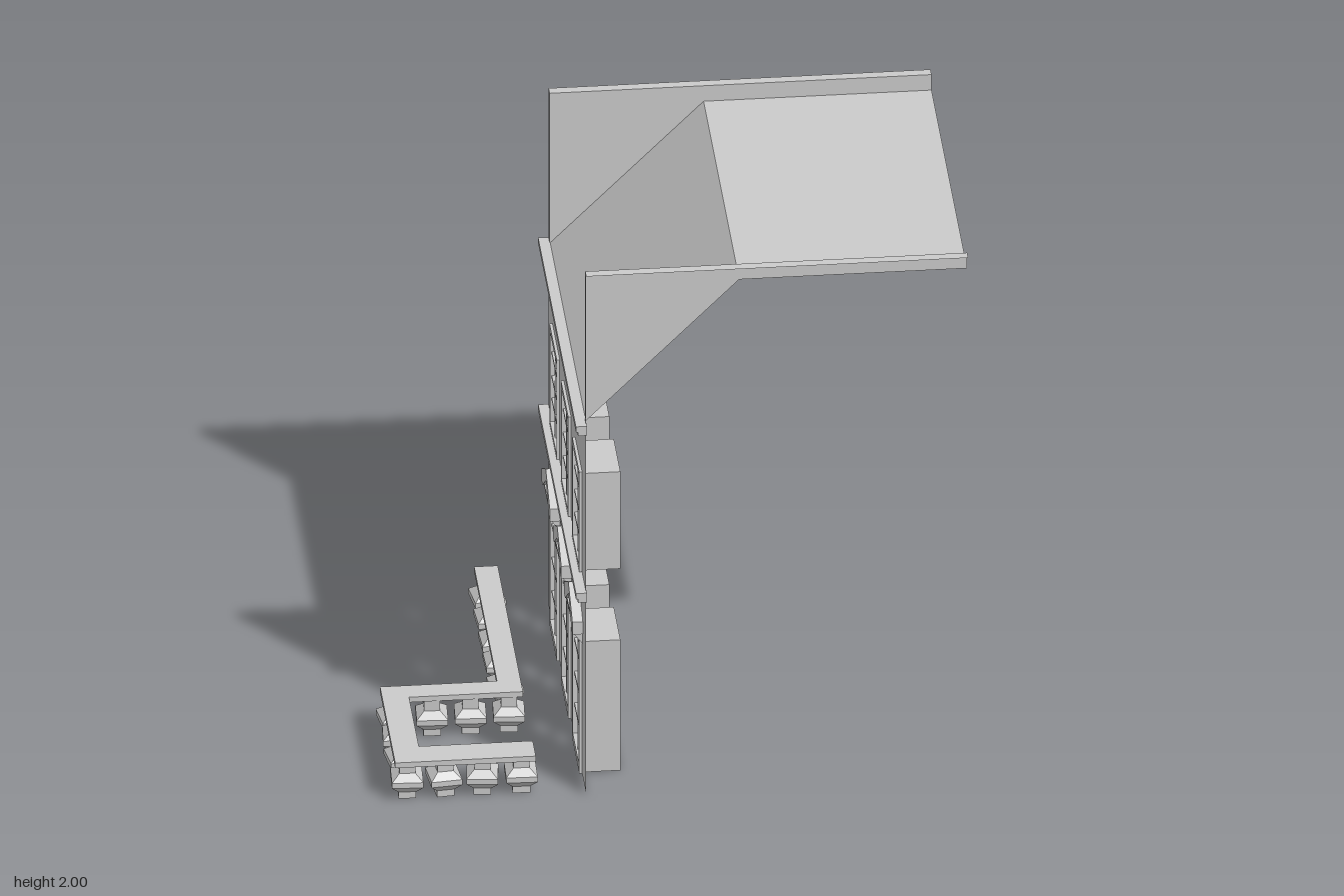
import * as THREE from 'three';

const solid = new THREE.MeshStandardMaterial({ color: 0xcccccc, flatShading: true });
const sheet = new THREE.MeshStandardMaterial({ color: 0xcccccc, flatShading: true, side: THREE.DoubleSide });

const WALL = -0.32;

// small seeded generator in -1..1 for the slightly crooked pieces
let seed = 7;
const wobble = () => {
  seed = (seed * 16807) % 2147483647;
  return (seed / 2147483647) * 2 - 1;
};

function add(parent, name, geometry, material = solid) {
  const mesh = new THREE.Mesh(geometry, material);
  mesh.name = name;
  parent.add(mesh);
  return mesh;
}

// box given by its limits on each axis
function span(parent, name, [x0, x1], [y0, y1], [z0, z1]) {
  const mesh = add(parent, name, new THREE.BoxGeometry(x1 - x0, y1 - y0, z1 - z0));
  mesh.position.set((x0 + x1) / 2, (y0 + y1) / 2, (z0 + z1) / 2);
  return mesh;
}

const polygon = (points) => new THREE.Shape(points.map(([a, b]) => new THREE.Vector2(a, b)));
const rectangle = (a0, a1, b0, b1) => polygon([[a0, b0], [a1, b0], [a1, b1], [a0, b1]]);

// shape drawn in (z, y), laid on the wall and thickened outward to -x
function onWall(parent, name, shape, depth, x) {
  const geometry = new THREE.ExtrudeGeometry(shape, { depth, bevelEnabled: false });
  geometry.rotateY(-Math.PI / 2);
  const mesh = add(parent, name, geometry);
  mesh.position.x = x;
  return mesh;
}

function makeWindow({ z0, z1, y0, y1, bars }) {
  const group = new THREE.Group();
  group.name = 'window';
  const h = y1 - y0, w = z1 - z0, zc = (z0 + z1) / 2, depth = 0.13;

  // deep reveal, open at both ends
  const tube = new THREE.BoxGeometry(depth, h, w);
  tube.setIndex(Array.from(tube.index.array).slice(12));
  tube.clearGroups();
  add(group, 'reveal', tube, sheet).position.set(WALL + depth / 2, (y0 + y1) / 2, zc);

  // surrounding frame
  const bottom = y0 + (y0 < 0.1 ? 0.03 : 0.015);
  const frame = rectangle(z0 - 0.008, z1 + 0.008, y0, y1 + 0.01);
  frame.holes.push(rectangle(z0 + 0.008, z1 - 0.008, bottom, y1 - 0.014));
  onWall(group, 'windowFrame', frame, 0.016, WALL + 0.006);

  // slightly crooked glazing bars
  const upright = span(group, 'glazingBar', [WALL - 0.004, WALL + 0.008], [bottom, y1 - 0.01], [zc - 0.005, zc + 0.005]);
  upright.rotation.x = wobble() * 0.012;
  for (const y of bars) {
    const bar = span(group, 'glazingBar', [WALL - 0.004, WALL + 0.008], [y - 0.005, y + 0.005], [z0 + 0.004, z1 - 0.004]);
    bar.rotation.x = wobble() * 0.03;
  }
  return group;
}

function makePediment(zc) {
  const group = new THREE.Group();
  group.name = 'pediment';
  const w = 0.14;
  // raking top
  const chevron = polygon([[-w, 0.55], [-w + 0.03, 0.55], [0, 0.63], [w - 0.03, 0.55], [w, 0.55], [w, 0.598], [0, 0.675], [-w, 0.598]]);
  onWall(group, 'pedimentRake', chevron, 0.035, WALL);
  // sloping sill moulding under it
  const wedge = new THREE.ExtrudeGeometry(
    polygon([[WALL, 0.51], [WALL, 0.56], [WALL - 0.03, 0.56], [WALL - 0.03, 0.55]]),
    { depth: 2 * w - 0.01, bevelEnabled: false });
  add(group, 'pedimentBase', wedge).position.z = -w + 0.005;
  group.position.z = zc;
  return group;
}

function makeBalustrade() {
  const group = new THREE.Group();
  group.name = 'balustrade';
  const y = [0.135, 0.155];
  span(group, 'handrail', [-0.57, -0.49], y, [-0.65, 0.13]);
  span(group, 'handrail', [-0.875, -0.49], y, [0.13, 0.21]);
  span(group, 'handrail', [-0.965, -0.875], y, [0.13, 0.65]);
  span(group, 'handrail', [-0.875, -0.49], y, [0.545, 0.65]);

  // square baluster with a bulging waist
  const profile = [[0, 0], [0.042, 0], [0.042, 0.025], [0.075, 0.052], [0.075, 0.072], [0.038, 0.095], [0.038, 0.138]];
  const geometry = new THREE.LatheGeometry(profile.map(([r, h]) => new THREE.Vector2(r, h)), 4, Math.PI / 4);
  const places = [];
  for (const z of [-0.605, -0.46, -0.305, -0.16, 0]) places.push([-0.53, z]);
  for (const x of [-0.92, -0.795, -0.665, -0.535]) places.push([x, 0.178], [x, 0.592]);
  for (const z of [0.305, 0.45]) places.push([-0.92, z]);
  for (const [x, z] of places) {
    const baluster = add(group, 'baluster', geometry, sheet);
    baluster.position.set(x, 0, z);
    baluster.rotation.y = wobble() * 0.16;
  }
  return group;
}

function makeRoof() {
  const group = new THREE.Group();
  group.name = 'roof';
  const zMid = 0.007, width = 1.215;

  // slope and flat top
  const slope = new THREE.PlaneGeometry(width, Math.hypot(0.52, 0.52));
  slope.rotateY(-Math.PI / 2).rotateZ(-Math.PI / 4);
  add(group, 'roofSlope', slope, sheet).position.set(-0.06, 1.68, zMid);
  const flat = new THREE.PlaneGeometry(0.77, width).rotateX(-Math.PI / 2);
  add(group, 'roofFlat', flat, sheet).position.set(0.585, 1.94, zMid);

  // parapet sides with a narrow coping turned outward
  const side = new THREE.ShapeGeometry(polygon([[WALL, 1.42], [0.2, 1.94], [0.97, 1.94], [0.97, 2], [WALL, 2]]));
  for (const s of [-1, 1]) {
    add(group, 'parapet', side, sheet).position.z = zMid + s * width / 2;
    const coping = new THREE.PlaneGeometry(1.29, 0.035).rotateX(-Math.PI / 2);
    add(group, 'parapetCoping', coping, sheet).position.set(0.325, 2, zMid + s * (width / 2 + 0.0175));
  }
  return group;
}

export function createModel() {
  const model = new THREE.Group();
  model.name = 'townhouseFacade';

  const columns = [[0.28, 0.503], [-0.106, 0.127], [-0.495, -0.263]];
  const windows = columns.flatMap(([z0, z1]) => [
    { z0, z1, y0: 0, y1: 0.505, bars: [0.14, 0.265, 0.395] },
    { z0, z1, y0: 0.78, y1: 1.155, bars: [0.88, 0.97, 1.06] },
  ]);

  // facade sheet with window openings and two strips rising beside the roof
  const wall = polygon([[-0.636, 0], [0.65, 0], [0.65, 2], [0.615, 2], [0.615, 1.42], [-0.601, 1.42], [-0.601, 2], [-0.636, 2]]);
  for (const { z0, z1, y0, y1 } of windows) wall.holes.push(rectangle(z0, z1, y0 + 0.004, y1));
  add(model, 'facadeWall', new THREE.ShapeGeometry(wall).rotateY(-Math.PI / 2), sheet).position.x = WALL;

  windows.forEach((w) => model.add(makeWindow(w)));
  columns.forEach(([z0, z1]) => model.add(makePediment((z0 + z1) / 2)));

  // horizontal mouldings, each with a projecting upper lip
  for (const y of [0.74, 1.385]) {
    span(model, 'cornice', [WALL - 0.028, WALL + 0.002], [y, y + 0.02], [-0.636, 0.65]);
    span(model, 'corniceLip', [WALL - 0.035, WALL + 0.002], [y + 0.015, y + 0.037], [-0.638, 0.652]);
  }

  model.add(makeRoof(), makeBalustrade());
  return model;
}
